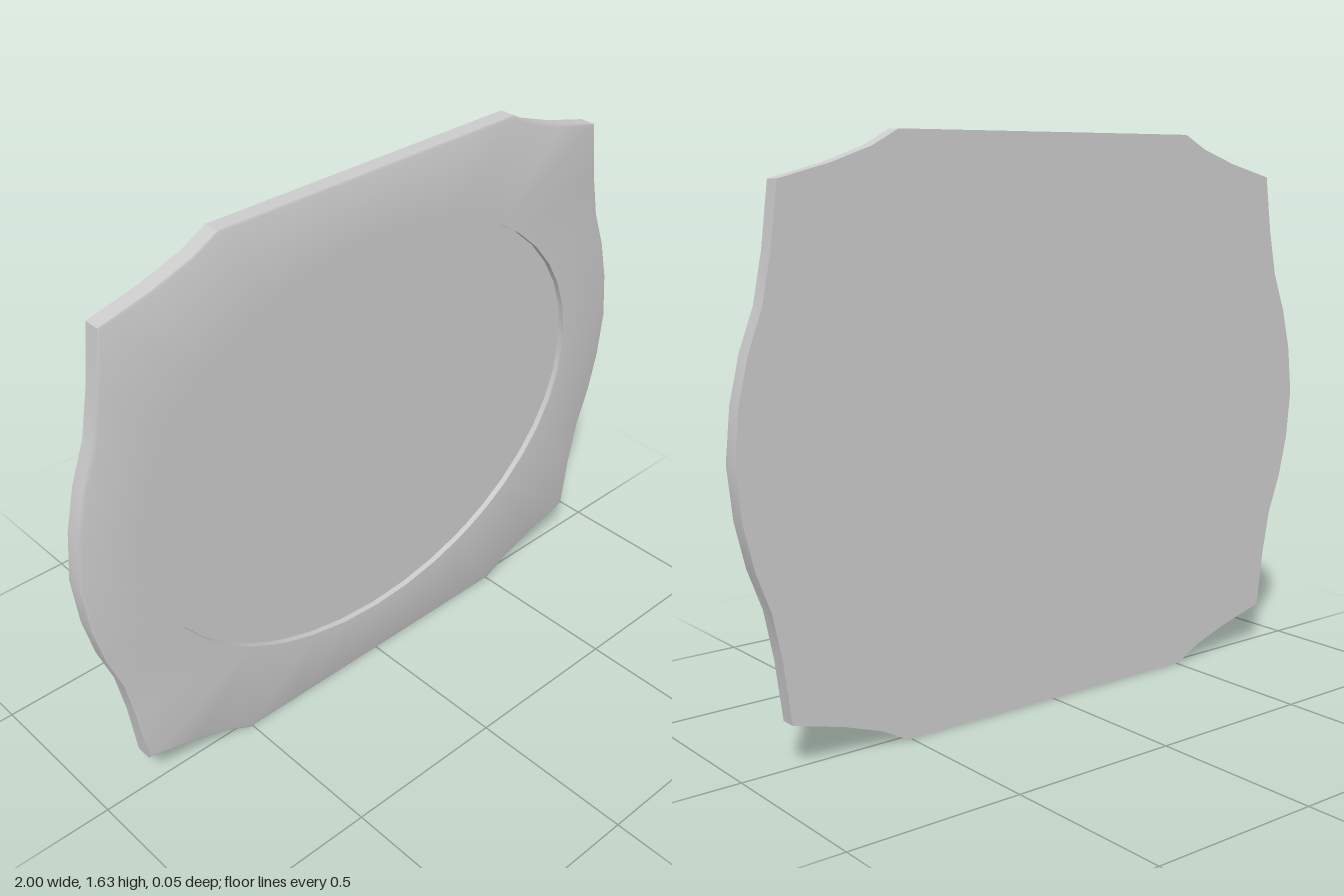
import * as THREE from 'three';
import { toCreasedNormals } from 'three/addons/utils/BufferGeometryUtils.js';

const CENTER_Y = 0.815;

// One quarter of the scalloped outline, from the side middle to the top middle
const QUARTER = [
  [1, 0], [0.985, 0.145], [0.955, 0.27], [0.912, 0.385], [0.885, 0.52], [0.863, 0.69],
  [0.71, 0.73], [0.59, 0.772], [0.51, 0.815], [0.34, 0.815], [0.17, 0.815], [0, 0.815],
];

// Mirror the quarter into a full counter-clockwise loop
function fullOutline() {
  const top = [...QUARTER, ...QUARTER.slice(1, -1).reverse().map(([x, y]) => [-x, y]), [-1, 0]];
  const bottom = top.slice(1, -1).reverse().map(([x, y]) => [x, -y]);
  return [...top, ...bottom];
}

// Join successive rings of equal length; a ring of one point closes an end
function loft(rings) {
  const pos = [];
  const n = Math.max(...rings.map((r) => r.length));
  for (let k = 0; k < rings.length - 1; k++) {
    const a = rings[k], b = rings[k + 1];
    for (let i = 0; i < n; i++) {
      const j = (i + 1) % n;
      if (a.length > 1) pos.push(...a[i], ...a[j], ...(b.length > 1 ? b[j] : b[0]));
      if (b.length > 1) pos.push(...(a.length > 1 ? a[i] : a[0]), ...b[j], ...b[i]);
    }
  }
  const geo = new THREE.BufferGeometry();
  geo.setAttribute('position', new THREE.Float32BufferAttribute(pos, 3));
  return toCreasedNormals(geo, 0.45);
}

export function createModel() {
  const group = new THREE.Group();
  group.name = 'ovalPlaque';
  const material = new THREE.MeshStandardMaterial({ color: 0xcccccc });

  const outline = fullOutline();
  const edge = (z, inset = 0) => outline.map(([x, y]) => [x * (1 - inset), y * (1 - inset), z]);
  const oval = (z) => outline.map(([x, y]) => {
    const t = Math.atan2(y / 0.63, x / 0.8);
    return [0.8 * Math.cos(t), 0.63 * Math.sin(t) - 0.008, z];
  });

  // Back, outer wall, softened front edge and raised border
  const frame = new THREE.Mesh(
    loft([[[0, 0, -0.025]], edge(-0.025), edge(0.022), edge(0.025, 0.008), oval(0.025)]),
    material,
  );
  frame.name = 'scallopedFrame';

  // Sunken oval field with its short rim wall
  const panel = new THREE.Mesh(loft([oval(0.025), oval(0.007), [[0, -0.008, 0.007]]]), material);
  panel.name = 'recessedOvalPanel';

  group.add(frame, panel);
  group.children.forEach((m) => { m.position.y = CENTER_Y; });
  return group;
}
